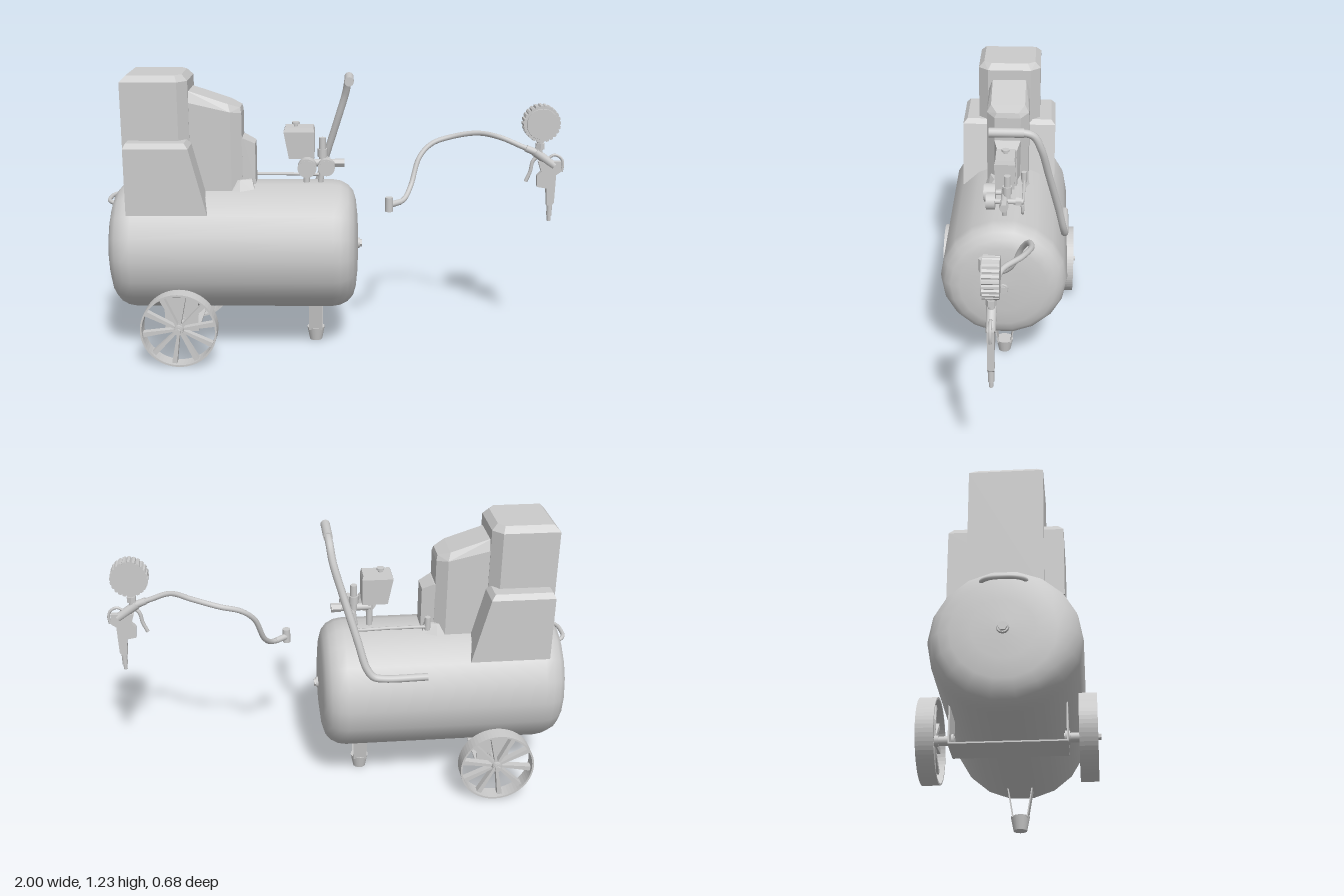
import * as THREE from 'three';
import { ConvexGeometry } from 'three/addons/geometries/ConvexGeometry.js';

const V = (p) => new THREE.Vector3(...p);
const smooth = new THREE.MeshStandardMaterial({ color: 0xcccccc });
const flat = new THREE.MeshStandardMaterial({ color: 0xcccccc, flatShading: true });
const thin = new THREE.MeshStandardMaterial({ color: 0xcccccc, side: THREE.DoubleSide });

export function createModel() {
  const root = new THREE.Group();
  root.name = 'airCompressor';

  const add = (name, geo, mat = smooth, parent = root) => {
    const m = new THREE.Mesh(geo, mat);
    m.name = name;
    parent.add(m);
    return m;
  };
  const group = (name) => {
    const g = new THREE.Group();
    g.name = name;
    root.add(g);
    return g;
  };
  // Cylinder or cone running from point a to point b
  const rod = (name, a, b, r1, r2 = r1, parent = root, seg = 16) => {
    const d = V(b).sub(V(a));
    const m = add(name, new THREE.CylinderGeometry(r2, r1, d.length(), seg), seg < 9 ? flat : smooth, parent);
    m.position.copy(V(a)).addScaledVector(d, 0.5);
    m.quaternion.setFromUnitVectors(new THREE.Vector3(0, 1, 0), d.normalize());
    return m;
  };
  // Closed-ended bent tube through points
  const tube = (name, pts, r, parent = root, n = 48) => {
    const c = new THREE.CatmullRomCurve3(pts.map(V), false, 'centripetal');
    add(name, new THREE.TubeGeometry(c, n, r, 10), smooth, parent);
    for (const t of [0, 1]) {
      const p = c.getPoint(t), d = c.getTangent(t).multiplyScalar(t ? 0.001 : -0.001);
      rod(name + 'End', p.toArray(), p.clone().add(d).toArray(), r, r, parent, 10);
    }
  };
  // Faceted shell: convex hull of points mirrored across z
  const hull = (name, pts, parent = root) =>
    add(name, new ConvexGeometry(pts.flatMap(([x, y, z]) => [V([x, y, z]), V([x, y, -z])])), flat, parent);
  const box = (name, size, pos, parent = root, mat = smooth) => {
    const m = add(name, new THREE.BoxGeometry(...size), mat, parent);
    m.position.set(...pos);
    return m;
  };

  // Tank with rounded ends
  const half = [[0.285, 0.43], [0.279, 0.465], [0.262, 0.497], [0.235, 0.52], [0.195, 0.532], [0.12, 0.54], [0, 0.543]];
  const profile = [...half.map(([r, y]) => new THREE.Vector2(r, -y)).reverse(), ...half.map(([r, y]) => new THREE.Vector2(r, y))];
  const tank = add('tank', new THREE.LatheGeometry(profile, 18));
  tank.rotation.z = -Math.PI / 2;
  tank.position.set(-0.44, 0.458, 0);
  for (const s of [-1, 1]) {
    const x = (d) => -0.44 + s * d;
    rod('tankPlug', [x(0.53), 0.458, 0], [x(0.552), 0.458, 0], 0.026, 0.022, root, 12);
    rod('tankPlugBolt', [x(0.54), 0.458, 0], [x(0.56), 0.458, 0], 0.018, 0.018, root, 6);
  }
  tube('rearGrip', [[-0.945, 0.66, -0.085], [-0.965, 0.665, -0.08], [-0.985, 0.665, -0.05], [-0.99, 0.665, 0],
    [-0.985, 0.665, 0.05], [-0.965, 0.665, 0.08], [-0.945, 0.66, 0.085]], 0.009, root, 24);

  // Motor covers
  const cover = group('motorCover');
  hull('lowerCover', [[-0.885, 0.645, 0.22], [-0.54, 0.645, 0.22], [-0.885, 0.932, 0.22], [-0.612, 0.932, 0.22],
    [-0.875, 0.953, 0.2], [-0.63, 0.953, 0.2]], cover);
  hull('upperCover', [[-0.9, 0.65, 0.145], [-0.66, 0.65, 0.145], [-0.62, 0.65, 0.1], [-0.9, 1.2, 0.145],
    [-0.66, 1.2, 0.145], [-0.62, 1.2, 0.1], [-0.875, 1.226, 0.12], [-0.67, 1.226, 0.12], [-0.645, 1.226, 0.085]], cover);
  hull('pumpCover', [[-0.64, 0.72, 0.097], [-0.445, 0.72, 0.097], [-0.4, 0.72, 0.06], [-0.64, 1.11, 0.097],
    [-0.445, 1.065, 0.097], [-0.4, 1.055, 0.06], [-0.64, 1.16, 0.078], [-0.455, 1.098, 0.078], [-0.405, 1.078, 0.05]], cover);
  hull('pumpHead', [[-0.43, 0.74, 0.065], [-0.345, 0.74, 0.045], [-0.43, 0.945, 0.065], [-0.395, 0.945, 0.06], [-0.345, 0.92, 0.045]], cover);
  hull('pumpFlange', [[-0.445, 0.715, 0.1], [-0.41, 0.715, 0.105], [-0.345, 0.715, 0.09],
    [-0.445, 0.765, 0.07], [-0.41, 0.765, 0.08], [-0.36, 0.765, 0.06]], cover);
  rod('outletStub', [-0.37, 0.74, -0.078], [-0.37, 0.8, -0.078], 0.013, 0.013, cover);

  // Pressure switch
  const control = group('pressureControls');
  hull('switchBox', [[-0.2, 0.852, 0.042], [-0.09, 0.852, 0.042], [-0.222, 0.97, 0.047], [-0.088, 0.97, 0.047],
    [-0.215, 0.988, 0.042], [-0.093, 0.988, 0.042]], control);
  rod('switchKnobStem', [-0.17, 0.98, 0], [-0.17, 1.0, 0], 0.009, 0.009, control);
  rod('switchKnob', [-0.17, 0.998, 0], [-0.17, 1.007, 0], 0.017, 0.017, control);
  rod('switchPost', [-0.125, 0.73, 0], [-0.125, 0.86, 0], 0.014, 0.014, control);

  // Manifold, gauges and valves
  rod('manifold', [-0.13, 0.825, 0], [0.01, 0.825, 0], 0.016, 0.016, control);
  rod('manifoldPost', [-0.065, 0.73, 0], [-0.05, 0.83, 0], 0.012, 0.012, control);
  rod('regulator', [-0.055, 0.82, -0.012], [-0.055, 0.935, -0.012], 0.015, 0.015, control);
  rod('regulatorCollar', [-0.055, 0.85, -0.012], [-0.055, 0.885, -0.012], 0.021, 0.021, control, 12);
  rod('crossPipe', [-0.037, 0.82, 0.05], [-0.037, 0.82, -0.085], 0.012, 0.012, control);
  rod('crossCap', [-0.037, 0.82, -0.05], [-0.037, 0.82, -0.075], 0.019, 0.019, control, 6);
  rod('outletNut', [0.0, 0.825, 0], [0.042, 0.825, 0], 0.02, 0.02, control, 6);
  for (const [x, r, z0, z1] of [[-0.12, 0.041, 0.042, 0.092], [-0.037, 0.037, 0.04, 0.078]]) {
    rod('tankGaugeStem', [x, 0.82, 0], [x, 0.82, z0 + 0.01], 0.012, 0.012, control);
    rod('tankGauge', [x, 0.82, z0], [x, 0.82, z1], r, r, control, 20);
    rod('tankGaugeFace', [x, 0.82, z1], [x, 0.82, z1 + 0.003], r * 0.85, r * 0.85, control, 20);
  }
  tube('airPipe', [[-0.037, 0.82, -0.07], [-0.037, 0.79, -0.08], [-0.04, 0.765, -0.08], [-0.06, 0.755, -0.08],
    [-0.2, 0.755, -0.08], [-0.37, 0.755, -0.08]], 0.007, control);

  // Push handle
  tube('pushHandle', [[0.06, 1.19, 0.05], [0.06, 1.19, -0.08], [0.057, 1.175, -0.125], [0.047, 1.11, -0.158],
    [0.01, 0.98, -0.19], [-0.05, 0.78, -0.238], [-0.085, 0.665, -0.262], [-0.115, 0.625, -0.269], [-0.16, 0.615, -0.271],
    [-0.345, 0.615, -0.271]], 0.0165, root, 90);
  rod('handleGrip', [0.06, 1.19, 0.06], [0.06, 1.19, -0.085], 0.02);

  // Wheels with tapered spokes, mirrored
  const cx = -0.665, cy = 0.164;
  for (const s of [-1, 1]) {
    const wheel = group(s > 0 ? 'frontWheel' : 'backWheel');
    wheel.position.set(cx, cy, s * 0.293);
    const rimShape = new THREE.Shape().absarc(0, 0, 0.164, 0, Math.PI * 2);
    rimShape.holes.push(new THREE.Path().absarc(0, 0, 0.156, 0, Math.PI * 2, true));
    const rim = new THREE.ExtrudeGeometry(rimShape, { depth: 0.067, bevelEnabled: false, curveSegments: 32 });
    add('rim', rim.translate(0, 0, -0.0335), smooth, wheel);
    const spoke = new THREE.Shape([[0.01, -0.005], [0.158, -0.011], [0.158, 0.011], [0.01, 0.005]].map((p) => new THREE.Vector2(...p)));
    for (let i = 0; i < 10; i++) {
      const g = new THREE.ExtrudeGeometry(spoke, { depth: 0.03, bevelEnabled: false });
      add('spoke', g.translate(0, 0, -0.015), smooth, wheel).rotation.z = (i + 0.25) * Math.PI / 5;
    }
    rod('hub', [0, 0, -0.03], [0, 0, 0.03], 0.022, 0.022, wheel);
    rod('axle', [0, 0, -s * 0.09], [0, 0, s * 0.035], 0.018, 0.018, wheel);
    rod('axleCollar', [0, 0, -s * 0.087], [0, 0, -s * 0.068], 0.026, 0.026, wheel);
    rod('axleNut', [0, 0, s * 0.03], [0, 0, s * 0.046], 0.013, 0.013, wheel, 6);
    box('axleBracketSide', [0.145, 0.155, 0.006], [cx, 0.2, s * 0.217]);
  }
  box('axleBracketPlate', [0.145, 0.006, 0.436], [cx, 0.125, 0]);

  // Support foot: splayed plates on a rubber pad
  for (const s of [-1, 1]) {
    const plate = box('footPlate', [0.062, 0.13, 0.005], [-0.087, 0.116, s * 0.04], root, thin);
    plate.rotation.x = s * 0.16;
  }
  box('footBase', [0.062, 0.005, 0.064], [-0.087, 0.058, 0]);
  rod('footPad', [-0.087, 0, 0], [-0.087, 0.06, 0], 0.028, 0.04);

  // Air hose with end coupling
  rod('hoseCoupling', [0.235, 0.627, 0.08], [0.235, 0.69, 0.08], 0.017);
  rod('hoseSleeve', [0.235, 0.655, 0.078], [0.285, 0.657, 0.035], 0.014, 0.013);
  tube('airHose', [[0.25, 0.655, 0.065], [0.3, 0.662, 0.02], [0.335, 0.71, -0.04], [0.375, 0.83, -0.09], [0.43, 0.885, -0.117],
    [0.52, 0.915, -0.128], [0.63, 0.938, -0.095], [0.725, 0.933, -0.02], [0.81, 0.9, 0.0], [0.89, 0.868, 0.008]], 0.0115, root, 80);

  // Inflator gun
  const gun = group('inflatorGun');
  rod('gunInlet', [0.83, 0.892, 0.005], [0.89, 0.868, 0.008], 0.015, 0.017, gun);
  rod('gunHead', [0.87, 0.876, 0.008], [0.955, 0.815, 0.008], 0.02, 0.018, gun);
  rod('gaugeNeck', [0.89, 0.86, 0.008], [0.89, 0.935, 0.008], 0.013, 0.013, gun);
  rod('gaugeNeckNut', [0.89, 0.89, 0.008], [0.89, 0.915, 0.008], 0.021, 0.021, gun, 6);
  const grip = new THREE.Shape([[0.885, 0.835], [0.985, 0.835], [0.985, 0.79], [0.965, 0.775], [0.962, 0.65], [0.952, 0.637],
    [0.93, 0.637], [0.925, 0.715], [0.885, 0.722], [0.882, 0.77], [0.9, 0.79]].map((p) => new THREE.Vector2(...p)));
  const gripGeo = new THREE.ExtrudeGeometry(grip, { depth: 0.026, bevelEnabled: false });
  add('gunGrip', gripGeo.translate(0, 0, -0.005), smooth, gun);
  rod('gunStem', [0.945, 0.645, 0.008], [0.945, 0.59, 0.008], 0.012, 0.012, gun);
  rod('gunTip', [0.945, 0.6, 0.008], [0.945, 0.565, 0.008], 0.009, 0.008, gun);
  tube('trigger', [[0.885, 0.86, 0.008], [0.862, 0.835, 0.008], [0.853, 0.79, 0.008], [0.835, 0.745, 0.008]], 0.008, gun, 16);
  tube('hangHook', [[0.925, 0.845, 0.008], [0.955, 0.863, 0.008], [0.985, 0.848, 0.008], [0.994, 0.82, 0.008], [0.99, 0.79, 0.008]], 0.006, gun, 20);

  // Inflator gauge with notched ring
  const teeth = [];
  for (let i = 0; i < 96; i++) {
    const a = (i / 96) * Math.PI * 2, r = i % 4 < 3 ? 0.08 : 0.074;
    teeth.push(new THREE.Vector2(r * Math.cos(a), r * Math.sin(a)));
  }
  const ring = add('gaugeRing', new THREE.ExtrudeGeometry(new THREE.Shape(teeth), { depth: 0.062, bevelEnabled: false }), smooth, gun);
  ring.position.set(0.89, 1.005, -0.023);
  rod('gaugeFace', [0.89, 1.005, 0.035], [0.89, 1.005, 0.043], 0.068, 0.066, gun, 32);
  return root;
}
